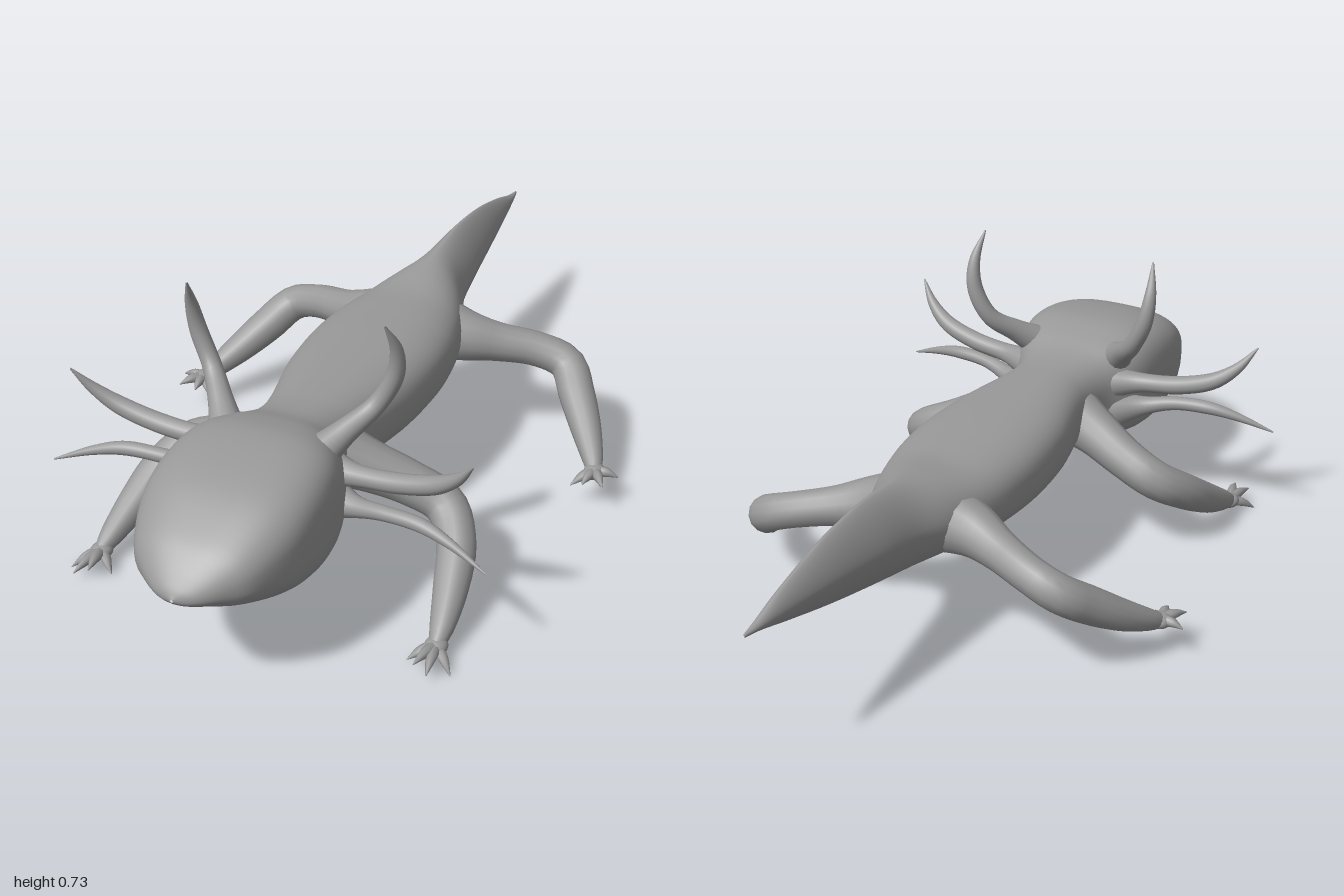
import * as THREE from 'three';

// Skin a list of rings (equal point counts) with a smooth closed surface
function loft(rings) {
  const n = rings[0].length, pos = [], idx = [];
  rings.forEach(r => r.forEach(p => pos.push(p.x, p.y, p.z)));
  for (let r = 0; r < rings.length - 1; r++) {
    for (let i = 0; i < n; i++) {
      const a = r * n + i, b = r * n + (i + 1) % n, c = a + n, d = b + n;
      idx.push(a, b, c, b, d, c);
    }
  }
  const g = new THREE.BufferGeometry();
  g.setAttribute('position', new THREE.Float32BufferAttribute(pos, 3));
  g.setIndex(idx);
  g.computeVertexNormals();
  return g;
}

// Smooth curve through 3-number rows, one row per unit of parameter
const curveOf = rows => new THREE.CatmullRomCurve3(
  rows.map(r => new THREE.Vector3(...r)), false, 'catmullrom', 0.5);

// Tapered limb through points [x, y, z, radius]
function limb(rows, steps = 28, sides = 14) {
  const path = curveOf(rows.map(r => r.slice(0, 3)));
  const radii = curveOf(rows.map(r => [r[3], 0, 0]));
  const f = path.computeFrenetFrames(steps);
  const rings = [];
  for (let s = 0; s <= steps; s++) {
    const u = s / steps, c = path.getPointAt(u);
    const r = Math.max(0.0005, radii.getPoint(path.getUtoTmapping(u)).x);
    rings.push(Array.from({ length: sides }, (_, i) => {
      const a = i / sides * Math.PI * 2;
      return c.clone().addScaledVector(f.normals[s], r * Math.cos(a))
        .addScaledVector(f.binormals[s], r * Math.sin(a));
    }));
  }
  return loft(rings);
}

// Nose to tail sections: z, half width, bottom, top, squareness
const SECTIONS = [
  [1.0, 0.003, 0.295, 0.302, 2], [0.985, 0.05, 0.28, 0.325, 2.1], [0.95, 0.1, 0.262, 0.362, 2.3],
  [0.9, 0.147, 0.238, 0.4, 2.6], [0.8, 0.188, 0.2, 0.45, 3], [0.7, 0.2, 0.18, 0.474, 3.4],
  [0.6, 0.194, 0.173, 0.481, 3.4], [0.52, 0.172, 0.182, 0.466, 3.1], [0.45, 0.135, 0.202, 0.443, 2.7],
  [0.38, 0.122, 0.22, 0.434, 2.5], [0.3, 0.13, 0.222, 0.432, 2.6], [0.15, 0.163, 0.218, 0.431, 2.7],
  [0, 0.175, 0.216, 0.43, 2.7], [-0.12, 0.168, 0.215, 0.427, 2.6], [-0.22, 0.148, 0.214, 0.426, 2.4],
  [-0.32, 0.115, 0.212, 0.44, 2], [-0.42, 0.077, 0.215, 0.452, 1.6], [-0.55, 0.062, 0.24, 0.459, 1.4],
  [-0.7, 0.046, 0.277, 0.445, 1.4], [-0.85, 0.027, 0.32, 0.409, 1.5], [-0.95, 0.012, 0.351, 0.376, 1.8],
  [-1, 0.003, 0.36, 0.367, 2],
];

function bodyGeometry() {
  const size = curveOf(SECTIONS.map(s => s.slice(1, 4)));
  const extra = curveOf(SECTIONS.map(s => [s[0], s[4], 0]));
  const steps = 105, sides = 48, rings = [];
  const power = (v, e) => Math.sign(v) * Math.pow(Math.abs(v), e);
  for (let s = 0; s <= steps; s++) {
    const { x: w, y: low, z: high } = size.getPoint(s / steps);
    const { x: z, y: n } = extra.getPoint(s / steps);
    rings.push(Array.from({ length: sides }, (_, i) => {
      const a = i / sides * Math.PI * 2;
      return new THREE.Vector3(w * power(Math.cos(a), 2 / n),
        (low + high) / 2 - (high - low) / 2 * power(Math.sin(a), 2 / n), z);
    }));
  }
  return loft(rings);
}

// Left side limbs and gills; the right side is mirrored in x
const LIMBS = {
  frontLeg: [[0.07, 0.31, 0.37, 0.08], [0.15, 0.282, 0.35, 0.062], [0.24, 0.245, 0.325, 0.053],
    [0.33, 0.205, 0.32, 0.05], [0.385, 0.155, 0.385, 0.047], [0.41, 0.1, 0.475, 0.041],
    [0.426, 0.055, 0.565, 0.028], [0.43, 0.037, 0.61, 0.016]],
  hindLeg: [[0.05, 0.31, -0.27, 0.09], [0.14, 0.297, -0.28, 0.066], [0.22, 0.282, -0.308, 0.05],
    [0.31, 0.265, -0.342, 0.045], [0.39, 0.238, -0.348, 0.046], [0.44, 0.19, -0.29, 0.046],
    [0.49, 0.142, -0.222, 0.039], [0.535, 0.102, -0.15, 0.026], [0.55, 0.088, -0.115, 0.016]],
  upperGill: [[0.11, 0.41, 0.54, 0.045], [0.155, 0.455, 0.485, 0.03], [0.205, 0.505, 0.43, 0.023],
    [0.243, 0.58, 0.416, 0.021], [0.252, 0.655, 0.428, 0.015], [0.24, 0.73, 0.465, 0.002]],
  middleGill: [[0.12, 0.36, 0.5, 0.045], [0.2, 0.368, 0.515, 0.026], [0.3, 0.38, 0.522, 0.024],
    [0.39, 0.407, 0.532, 0.022], [0.45, 0.45, 0.55, 0.014], [0.493, 0.506, 0.575, 0.002]],
  lowerGill: [[0.12, 0.28, 0.5, 0.055], [0.2, 0.295, 0.53, 0.026], [0.28, 0.312, 0.55, 0.018],
    [0.37, 0.315, 0.562, 0.017], [0.45, 0.298, 0.58, 0.011], [0.54, 0.265, 0.605, 0.002]],
};

// Palm centre and digit tips
const FEET = {
  frontFoot: { palm: [0.43, 0.036, 0.605],
    tips: [[0.378, 0.012, 0.65], [0.412, 0.042, 0.695], [0.447, 0.03, 0.705], [0.485, 0.004, 0.655]] },
  hindFoot: { palm: [0.55, 0.09, -0.12],
    tips: [[0.505, 0.066, -0.07], [0.54, 0.088, -0.052], [0.59, 0.09, -0.058], [0.61, 0.084, -0.125]] },
};

export function createModel() {
  const skin = new THREE.MeshStandardMaterial({ color: 0x999999 });
  skin.name = 'grey skin';
  const model = new THREE.Group();
  model.name = 'salamander';
  const add = (parent, geometry, name) => {
    const mesh = new THREE.Mesh(geometry, skin);
    mesh.name = name;
    parent.add(mesh);
    return mesh;
  };

  add(model, bodyGeometry(), 'headBodyAndTail');

  for (const [side, sx] of [['left', 1], ['right', -1]]) {
    const half = new THREE.Group();
    half.name = side + 'Side';
    half.scale.x = sx;
    model.add(half);

    for (const [name, rows] of Object.entries(LIMBS)) add(half, limb(rows), name);

    for (const [name, { palm, tips }] of Object.entries(FEET)) {
      const foot = new THREE.Group();
      foot.name = name;
      half.add(foot);
      const pad = add(foot, new THREE.SphereGeometry(1, 16, 10), 'palm');
      pad.position.set(...palm);
      pad.scale.set(0.027, 0.019, 0.03);
      // Pointed digits with a slight arch
      tips.forEach(tip => {
        const mid = palm.map((v, k) => (v + tip[k]) / 2 + (k === 1 ? 0.006 : 0));
        add(foot, limb([[...palm, 0.014], [...mid, 0.012], [...tip, 0.001]], 8, 8), 'digit');
      });
    }
  }
  return model;
}
